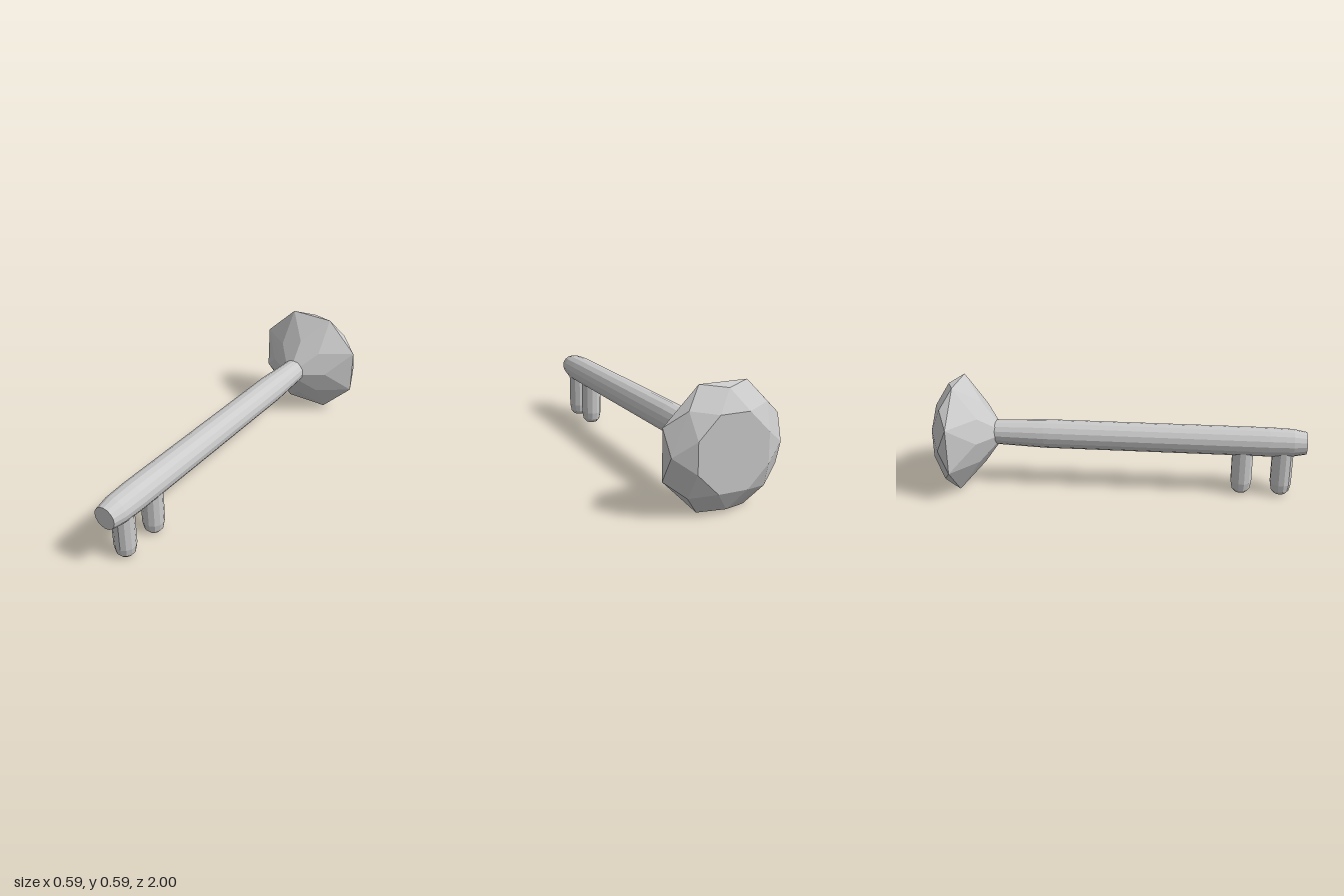
import * as THREE from 'three';
import { ConvexGeometry } from 'three/addons/geometries/ConvexGeometry.js';

const material = new THREE.MeshStandardMaterial({ color: 0xcccccc, flatShading: true });

function part(name, geometry) {
  const mesh = new THREE.Mesh(geometry, material);
  mesh.name = name;
  return mesh;
}

// Turned solid from [radius, height] pairs, listed bottom to top
function turned(profile, sides) {
  return new THREE.LatheGeometry(profile.map(([r, h]) => new THREE.Vector2(r, h)), sides);
}

// Eight points around the z axis
function ring(radius, z, turn) {
  return Array.from({ length: 8 }, (_, i) => {
    const a = (i + turn) * Math.PI / 4;
    return new THREE.Vector3(radius * Math.cos(a), radius * Math.sin(a), z);
  });
}

export function createModel() {
  const key = new THREE.Group();
  key.name = 'key';

  // Shaft: slim bar along z, tapered at both ends
  const shaft = part('shaft', turned([
    [0, -0.74], [0.066, -0.74], [0.069, -0.66], [0.079, -0.42],
    [0.079, 0.8], [0.074, 0.93], [0.061, 1], [0, 1],
  ], 16).rotateX(Math.PI / 2));
  shaft.position.y = 0.303;
  key.add(shaft);

  // Bow: cut gem with table, crown, girdle and pavilion facets
  const gem = part('gemHandle', new ConvexGeometry([
    ...ring(0.196, -1, 0.5),
    ...ring(0.282, -0.945, 0),
    ...ring(0.322, -0.89, 0.5),
    ...ring(0.177, -0.767, 0),
    new THREE.Vector3(0, 0, -0.64),
  ]));
  gem.position.y = 0.298;
  key.add(gem);

  // Teeth: two rounded pegs under the front end
  [0.88, 0.665].forEach((z, i) => {
    const tooth = part(i ? 'rearTooth' : 'frontTooth', turned([
      [0, 0.005], [0.034, 0.005], [0.05, 0.024], [0.058, 0.066], [0.058, 0.3], [0, 0.3],
    ], 12).rotateY(Math.PI / 12));
    tooth.position.z = z;
    key.add(tooth);
  });

  return key;
}
